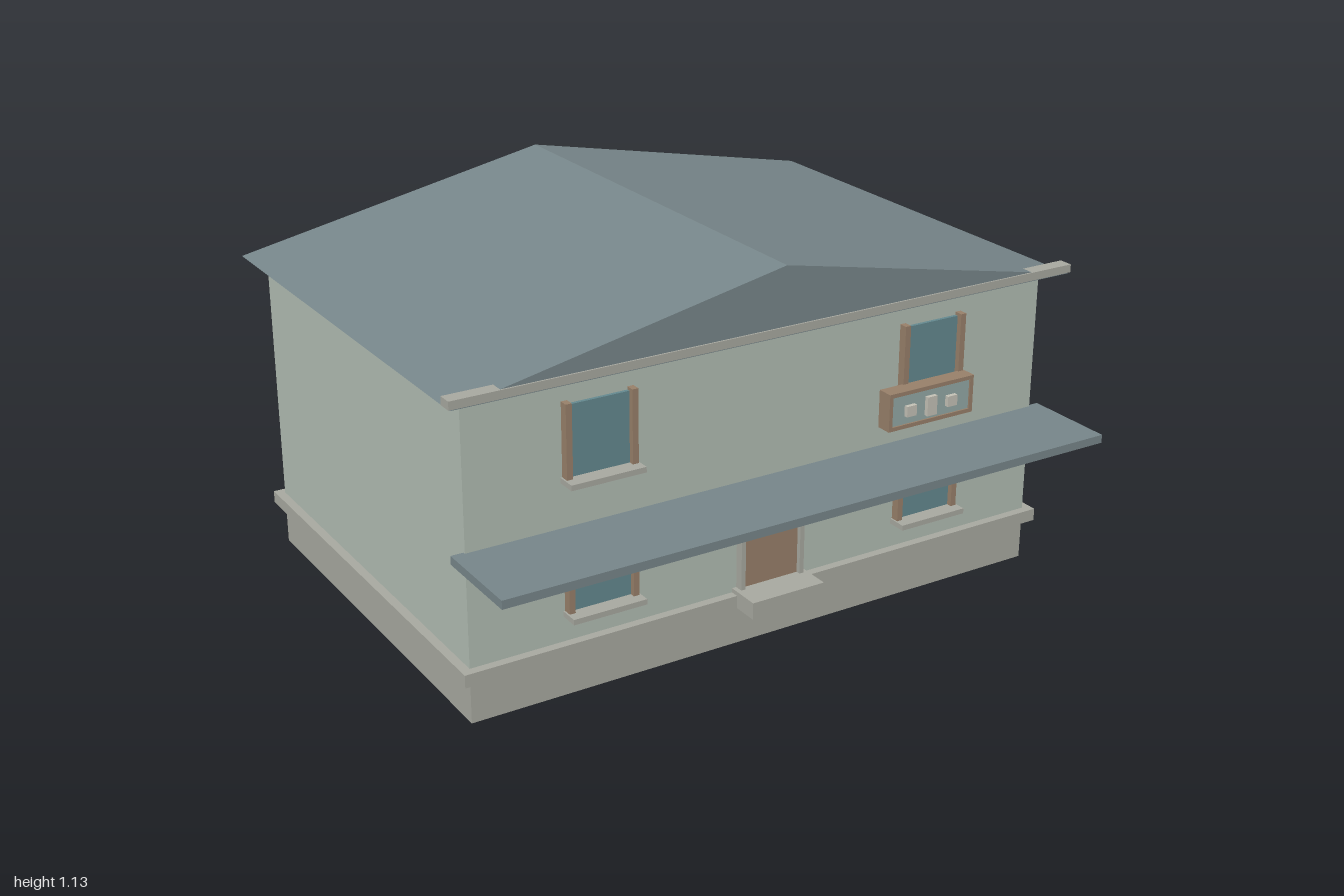
import * as THREE from 'three';

const mat = (color) => new THREE.MeshStandardMaterial({ color, flatShading: true });
const WALL = mat(0xb2bdb3), STONE = mat(0xa8a9a0), ROOF = mat(0x77868a);
const WOOD = mat(0x98806a), GLASS = mat(0x64898f), PANEL = mat(0x93a8a5);
const TRIM = mat(0xc4c1b6);

// Box given by its extents on each axis
function box(parent, name, material, [x0, x1], [y0, y1], [z0, z1]) {
  const mesh = new THREE.Mesh(new THREE.BoxGeometry(x1 - x0, y1 - y0, z1 - z0), material);
  mesh.position.set((x0 + x1) / 2, (y0 + y1) / 2, (z0 + z1) / 2);
  mesh.name = name;
  parent.add(mesh);
  return mesh;
}

// Window standing on its sill, wall plane at local z = 0
function makeWindow(name) {
  const g = new THREE.Group();
  g.name = name;
  box(g, 'glass', GLASS, [-0.1, 0.1], [0.01, 0.22], [-0.01, 0.01]);
  for (const s of [-1, 1]) {
    const c = s * 0.099;
    box(g, 'sidePost', WOOD, [c - 0.009, c + 0.009], [0.015, 0.229], [-0.005, 0.026]);
  }
  box(g, 'sill', STONE, [-0.113, 0.113], [0, 0.016], [-0.005, 0.058]);
  return g;
}

export function createModel() {
  const house = new THREE.Group();
  house.name = 'house';
  const front = 0.535, back = -0.75;

  // Body
  box(house, 'foundation', STONE, [-0.94, 0.94], [0, 0.13], [back, front]);
  box(house, 'plinthBand', STONE, [-0.967, 0.967], [0.127, 0.165], [back - 0.026, front + 0.026]);
  box(house, 'walls', WALL, [-0.94, 0.94], [0.165, 0.935], [back, front]);

  // Gable roof with its ridge running front to back
  const gable = new THREE.Shape([
    new THREE.Vector2(-0.995, 0.93), new THREE.Vector2(0.995, 0.93), new THREE.Vector2(0, 1.13),
  ]);
  const roof = new THREE.Mesh(
    new THREE.ExtrudeGeometry(gable, { depth: 1.41, bevelEnabled: false }), ROOF);
  roof.position.z = -0.812;
  roof.name = 'roof';
  house.add(roof);
  box(house, 'frontCornice', STONE, [-1, 1], [0.934, 0.958], [0.56, 0.603]);

  // Canopy across the front
  box(house, 'canopy', ROOF, [-0.977, 0.977], [0.476, 0.501], [0.527, 0.812]);

  // Door and step
  const door = new THREE.Group();
  door.name = 'door';
  box(door, 'doorLeaf', WOOD, [-0.095, 0.095], [0.17, 0.423], [front - 0.01, front + 0.012]);
  for (const s of [-1, 1]) {
    const c = s * 0.099;
    box(door, 'doorPost', STONE, [c - 0.007, c + 0.007], [0.17, 0.442], [front - 0.005, front + 0.026]);
  }
  box(door, 'doorStep', STONE, [-0.12, 0.12], [0.127, 0.178], [front, 0.642]);
  house.add(door);

  // Two windows per floor on the front and the back
  for (const x of [-0.545, 0.545]) {
    for (const y of [0.24, 0.631]) {
      const f = makeWindow('frontWindow');
      f.position.set(x, y, front);
      const b = makeWindow('backWindow');
      b.position.set(x, y, back);
      b.rotation.y = Math.PI;
      house.add(f, b);
    }
  }

  // Framed box hung below the upper left window
  const planter = new THREE.Group();
  planter.name = 'windowBox';
  const x0 = 0.357, x1 = 0.657, y0 = 0.571, y1 = 0.685, t = 0.012, zs = [0.556, 0.605];
  box(planter, 'panel', PANEL, [x0 + t, x1 - t], [y0 + t, y1 - t], [0.56, 0.6]);
  box(planter, 'bottomRail', WOOD, [x0, x1], [y0, y0 + t], zs);
  box(planter, 'topRail', WOOD, [x0, x1], [y1 - t, y1], zs);
  box(planter, 'endRail', WOOD, [x0, x0 + t], [y0 + t, y1 - t], zs);
  box(planter, 'endRail', WOOD, [x1 - t, x1], [y0 + t, y1 - t], zs);
  for (const [x, h] of [[0.431, 0.032], [0.504, 0.058], [0.577, 0.032]]) {
    box(planter, 'ornament', TRIM, [x - 0.017, x + 0.017], [0.624 - h / 2, 0.624 + h / 2], [0.595, 0.613]);
  }
  house.add(planter);

  return house;
}
